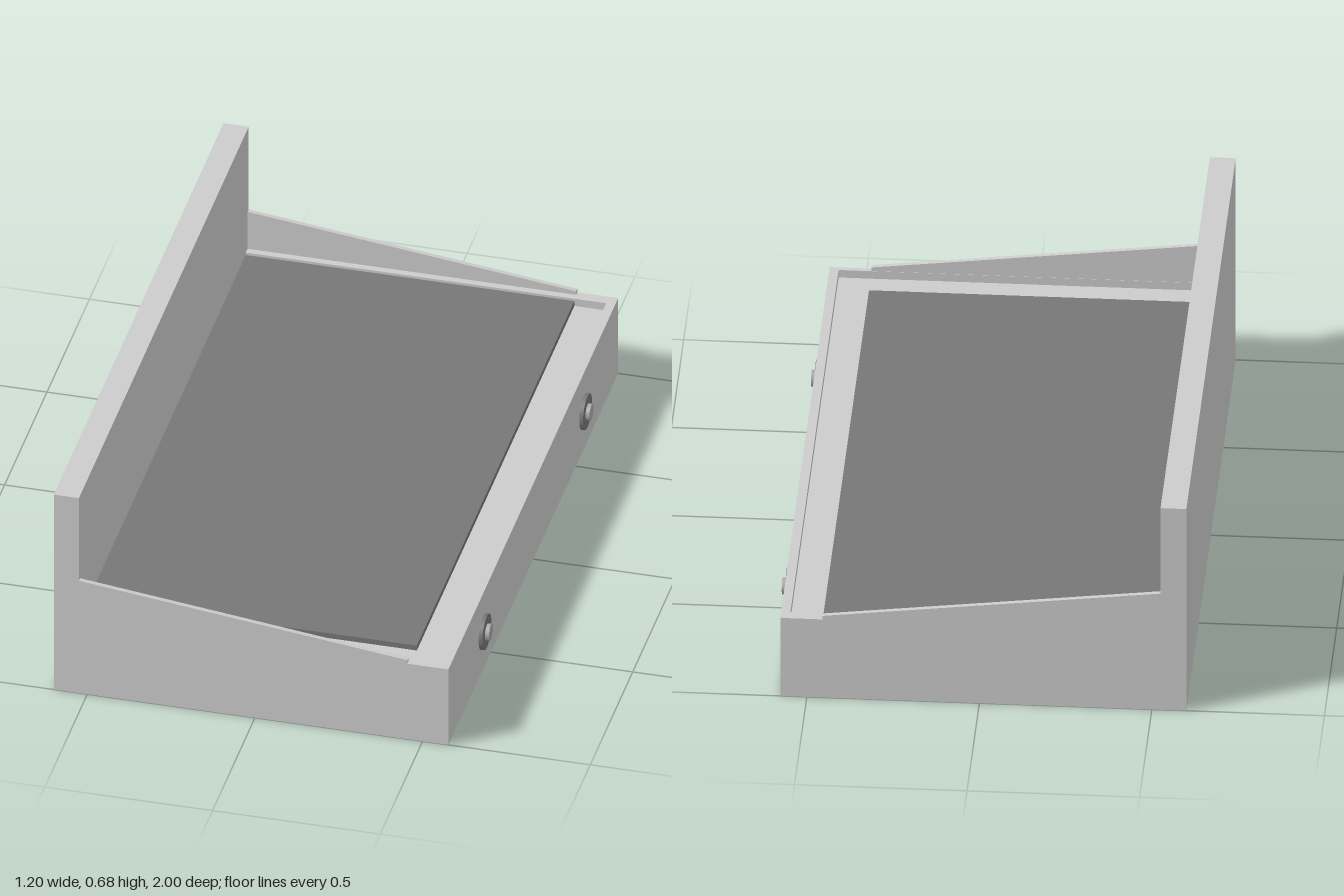
import * as THREE from 'three';

const grey = new THREE.MeshStandardMaterial({ color: 0xcccccc, flatShading: true });
const dark = new THREE.MeshStandardMaterial({ color: 0x777777, flatShading: true });
const darkRound = new THREE.MeshStandardMaterial({ color: 0x777777 });
const stemGrey = new THREE.MeshStandardMaterial({ color: 0xaaaaaa });

const X0 = -0.6, X1 = 0.577, BACK = -0.525;   // body ends and inner face of the tall wall
const LEDGE = 0.237, DECK = 0.262, TOP = 0.677; // height levels
const LIP = 0.014, LIP_END = 0.455;

function add(parent, name, geometry, material) {
  const mesh = new THREE.Mesh(geometry, material);
  mesh.name = name;
  parent.add(mesh);
  return mesh;
}

// Box given by its minimum and maximum corners
function boxBetween(x0, y0, z0, x1, y1, z1) {
  return new THREE.BoxGeometry(x1 - x0, y1 - y0, z1 - z0)
    .translate((x0 + x1) / 2, (y0 + y1) / 2, (z0 + z1) / 2);
}

const points = (list) => list.map(([x, y]) => new THREE.Vector2(x, y));

export function createModel() {
  const model = new THREE.Group();
  model.name = 'slopedTray';

  // Solid base up to the floor of the recess
  add(model, 'base', boxBetween(X0, 0, -1, X1, LEDGE, 1), grey);

  // Rim around the recess, drawn in plan and raised
  const plan = new THREE.Shape(points([[X0, -1], [X1, -1], [X1, 1], [X0, 1]]));
  plan.holes.push(new THREE.Path(points([[BACK, -0.985], [BACK, 0.965], [0.55, 0.965], [0.55, -0.985]])));
  const rim = new THREE.ExtrudeGeometry(plan, { depth: DECK - LEDGE, bevelEnabled: false });
  rim.rotateX(-Math.PI / 2).translate(0, LEDGE, 0);
  add(model, 'rim', rim, grey);

  // Tall wall along one long side
  add(model, 'tallWall', boxBetween(X0, DECK, -1, BACK, TOP, 1), grey);

  // Thin sloping lips at both ends
  const lipShape = new THREE.Shape(points([[BACK, DECK], [LIP_END, DECK], [LIP_END, 0.274], [BACK, 0.39]]));
  for (const [name, z] of [['frontLip', 1 - LIP], ['backLip', -1]]) {
    const lip = new THREE.ExtrudeGeometry(lipShape, { depth: LIP, bevelEnabled: false });
    add(model, name, lip.translate(0, 0, z), grey);
  }

  // Dark panel lying in the recess
  add(model, 'panel', boxBetween(BACK, LEDGE, -0.965, LIP_END, 0.254, 0.89), dark);

  // Two round sockets on the low long side
  for (const z of [-0.595, 0.59]) {
    const socket = new THREE.Group();
    socket.name = z < 0 ? 'backSocket' : 'frontSocket';
    const flange = new THREE.CylinderGeometry(0.054, 0.054, 0.011, 32).rotateZ(-Math.PI / 2);
    add(socket, 'flange', flange, darkRound).position.x = 0.0055;
    const stem = new THREE.CylinderGeometry(0.025, 0.025, 0.023, 32).rotateZ(-Math.PI / 2);
    add(socket, 'stem', stem, stemGrey).position.x = 0.0115;
    socket.position.set(X1, 0.13, z);
    model.add(socket);
  }
  return model;
}
